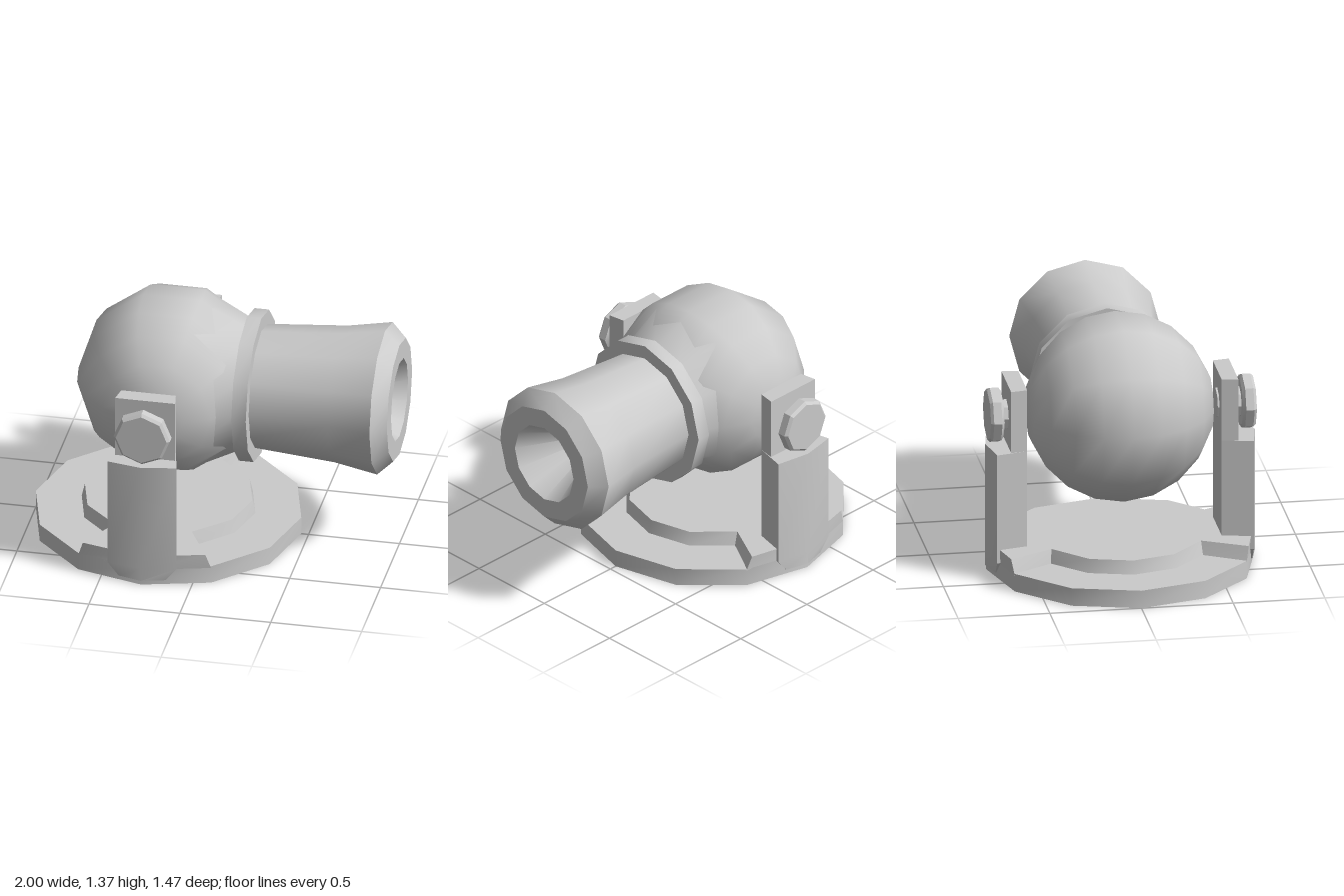
import * as THREE from 'three';
import { toCreasedNormals } from 'three/addons/utils/BufferGeometryUtils.js';

const PIVOT_X = -0.27, PIVOT_Y = 0.885;
const rad = THREE.MathUtils.degToRad;

export function createModel() {
  const model = new THREE.Group();
  const material = new THREE.MeshStandardMaterial({ color: 0xcccccc });

  function add(parent, name, geometry, crease = 35) {
    const mesh = new THREE.Mesh(toCreasedNormals(geometry, rad(crease)), material);
    mesh.name = name;
    parent.add(mesh);
    return mesh;
  }

  // Turned part from [radius, height] pairs
  const turned = (pairs, sides, start = 0) =>
    new THREE.LatheGeometry(pairs.map(([r, h]) => new THREE.Vector2(r, h)), sides, start);

  // Solid through stacked outlines; each layer is { y, outline: [[x, z], ...] },
  // anticlockwise when seen from above
  function loft(layers) {
    const pos = [], index = [], n = layers[0].outline.length;
    for (const { y, outline } of layers) for (const [x, z] of outline) pos.push(x, y, z);
    for (let k = 0; k < layers.length - 1; k++) {
      for (let i = 0; i < n; i++) {
        const a = k * n + i, b = k * n + (i + 1) % n;
        index.push(a, b, b + n, a, b + n, a + n);
      }
    }
    const flat = layers[0].outline.map(([x, z]) => new THREE.Vector2(x, -z));
    const top = (layers.length - 1) * n;
    for (const [a, b, c] of THREE.ShapeUtils.triangulateShape(flat, [])) {
      index.push(c, b, a, top + a, top + b, top + c);
    }
    const g = new THREE.BufferGeometry();
    g.setAttribute('position', new THREE.Float32BufferAttribute(pos, 3));
    g.setIndex(index);
    return g;
  }

  // Round base
  const base = new THREE.Group();
  base.name = 'base';
  base.position.x = PIVOT_X;
  model.add(base);
  add(base, 'basePlate', new THREE.CylinderGeometry(0.73, 0.73, 0.1, 12).translate(0, 0.05, 0));

  // Raised deck: a smaller disc that widens to the rim under each bracket
  const deckOutline = (inner, spread) => {
    const points = [];
    const polar = (r, deg) => points.push([r * Math.cos(rad(deg)), -r * Math.sin(rad(deg))]);
    for (const side of [0, 180]) {
      for (const a of [-30, 0, 30]) polar(inner, side + a);
      polar(inner, side + 90 - spread);
      for (const a of [-spread, 0, spread]) polar(0.73, side + 90 + a);
      polar(inner, side + 90 + spread);
    }
    return points;
  };
  add(base, 'raisedDeck', loft([
    { y: 0.09, outline: deckOutline(0.48, 30) },
    { y: 0.175, outline: deckOutline(0.46, 27.5) },
  ]), 32);

  // Two mirrored brackets with their pivot bolts
  const footOutline = (s) => [[-0.19 * s, 0.7], [0, 0.735], [0.19 * s, 0.7], [0.15 * s, 0.53], [-0.15 * s, 0.53]];
  const armOutline = [[-0.165, 0.62], [0.165, 0.62], [0.15, 0.53], [-0.15, 0.53]];
  for (const turn of [0, Math.PI]) {
    const bracket = new THREE.Group();
    bracket.name = turn ? 'backBracket' : 'frontBracket';
    bracket.position.x = PIVOT_X;
    bracket.rotation.y = turn;
    model.add(bracket);
    add(bracket, 'bracketFoot', loft([
      { y: 0.025, outline: footOutline(0.68) },
      { y: 0.1, outline: footOutline(1) },
      { y: 0.72, outline: footOutline(1) },
    ]), 30);
    add(bracket, 'bracketArm', loft([
      { y: 0.7, outline: armOutline },
      { y: 1.07, outline: armOutline },
    ]), 30);
    const axle = turned([[0, 0.52], [0.085, 0.52], [0.085, 0.66], [0, 0.66]], 8);
    add(bracket, 'axle', axle.rotateX(Math.PI / 2), 30).position.y = PIVOT_Y;
    const head = turned([[0, 0.65], [0.135, 0.65], [0.155, 0.665], [0.155, 0.71], [0.14, 0.725], [0, 0.725]], 8);
    add(bracket, 'boltHead', head.rotateX(Math.PI / 2), 30).position.y = PIVOT_Y;
  }

  // Ball body: ten-sided sphere around z with flattened poles
  const R = 0.515, ball = [];
  for (let a = -72; a <= 72; a += 18) ball.push([R * Math.cos(rad(a)), R * Math.sin(rad(a))]);
  ball.unshift([0, ball[0][1]]);
  ball.push([0, -ball[0][1]]);
  add(model, 'ballBody', turned(ball, 10, Math.PI / 2).rotateX(Math.PI / 2), 40)
    .position.set(-0.25, PIVOT_Y, 0);

  // Barrel parts, turned around x
  const addBarrelPart = (name, pairs) =>
    add(model, name, turned(pairs, 12).rotateZ(-Math.PI / 2)).position.y = PIVOT_Y;
  addBarrelPart('neck', [[0, -0.09], [0.475, -0.09], [0.35, 0.17], [0, 0.17]]);
  addBarrelPart('collar', [[0, 0.16], [0.413, 0.16], [0.413, 0.24], [0, 0.24]]);
  addBarrelPart('barrel', [
    [0.335, 0.23], [0.37, 0.68], [0.413, 0.92], [0.335, 1], [0.225, 1], [0, 0.55],
  ]);

  return model;
}
